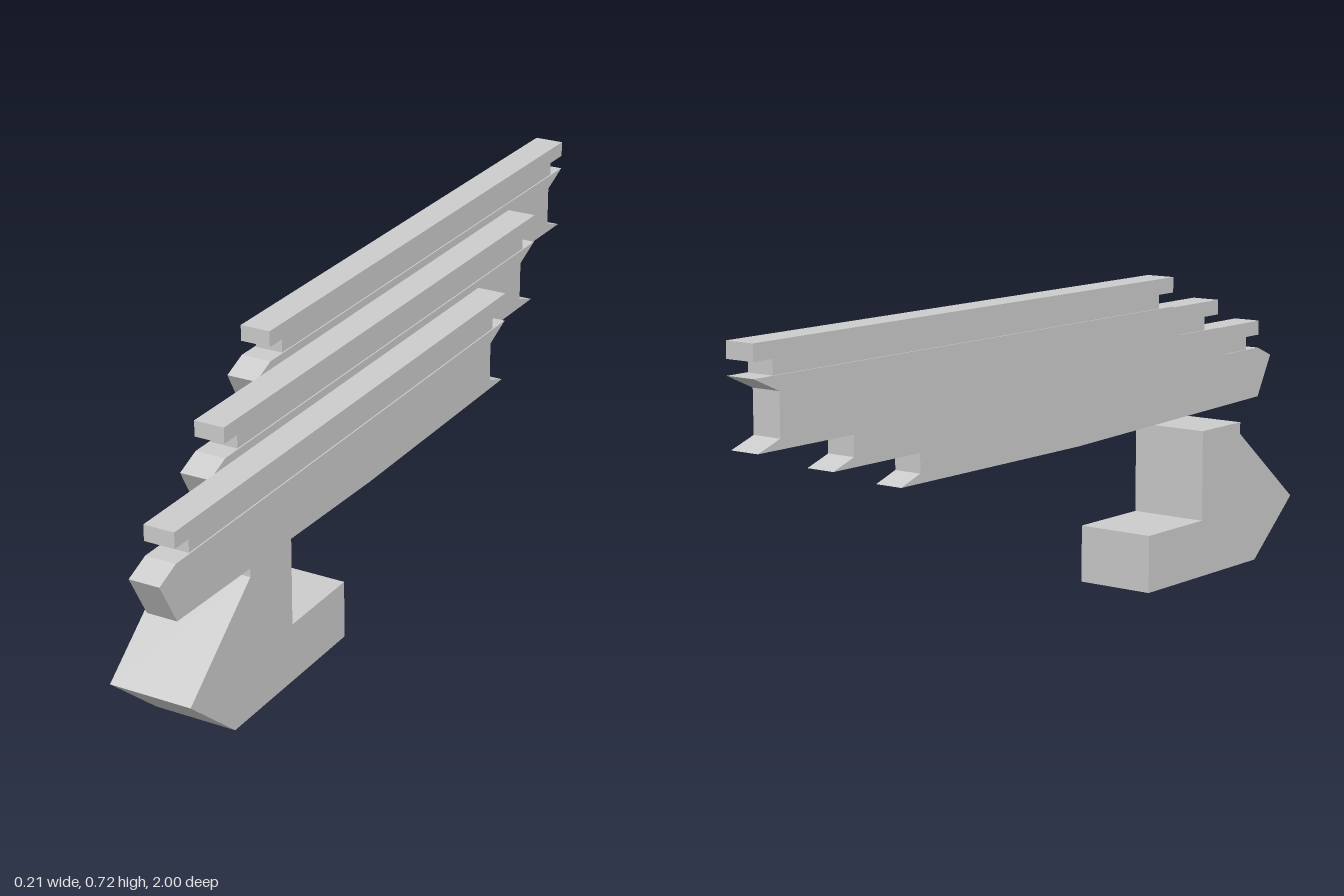
import * as THREE from 'three';

const BEAM_WIDTH = 0.069;
const NECK_WIDTH = 0.063;

// Extrudes a side profile of [z, y] points across x, centred on x = 0.
function sideExtrude(points, width) {
  const shape = new THREE.Shape(points.map(([z, y]) => new THREE.Vector2(z, y)));
  const geometry = new THREE.ExtrudeGeometry(shape, { depth: width, bevelEnabled: false });
  geometry.translate(0, 0, -width / 2);
  geometry.rotateY(-Math.PI / 2);
  return geometry;
}

// Box given by its z and y ranges.
function sideBox(z0, z1, y0, y1, width) {
  const geometry = new THREE.BoxGeometry(width, y1 - y0, z1 - z0);
  geometry.translate(0, (y0 + y1) / 2, (z0 + z1) / 2);
  return geometry;
}

export function createModel() {
  const model = new THREE.Group();
  model.name = 'steppedRails';

  const grey = new THREE.MeshStandardMaterial({ color: 0xcccccc });
  grey.name = 'grey';

  const add = (parent, name, geometry) => {
    const mesh = new THREE.Mesh(geometry, grey);
    mesh.name = name;
    parent.add(mesh);
    return mesh;
  };

  // Beam body: pointed nose in front, undercut tail behind
  const body = sideExtrude([
    [0.943, 0.48], [1.0, 0.456], [0.945, 0.358], [0.2, 0.337], [-0.417, 0.337],
    [-0.355, 0.358], [-0.355, 0.449], [-0.425, 0.48],
  ], BEAM_WIDTH);
  // Narrow neck that leaves a groove under the top rail
  const neck = sideBox(-0.37, 0.893, 0.48, 0.512, NECK_WIDTH);
  const topRail = sideBox(-0.425, 0.945, 0.512, 0.547, BEAM_WIDTH);

  // Three equal beams, each stepped sideways, up and back
  ['leftBeam', 'middleBeam', 'rightBeam'].forEach((name, i) => {
    const beam = new THREE.Group();
    beam.name = name;
    add(beam, 'beamBody', body);
    add(beam, 'beamNeck', neck);
    add(beam, 'topRail', topRail);
    beam.position.set((1 - i) * BEAM_WIDTH - 0.0005, i * 0.0845, i * -0.2865);
    model.add(beam);
  });

  // Foot: angled front, upright post and low heel behind
  const foot = add(model, 'foot', sideExtrude([
    [0.66, 0.345], [0.502, 0.345], [0.502, 0.133], [0.288, 0.133],
    [0.288, 0], [0.73, 0], [0.888, 0.133], [0.66, 0.317],
  ], 0.19));
  foot.position.x = -0.0065;

  return model;
}
